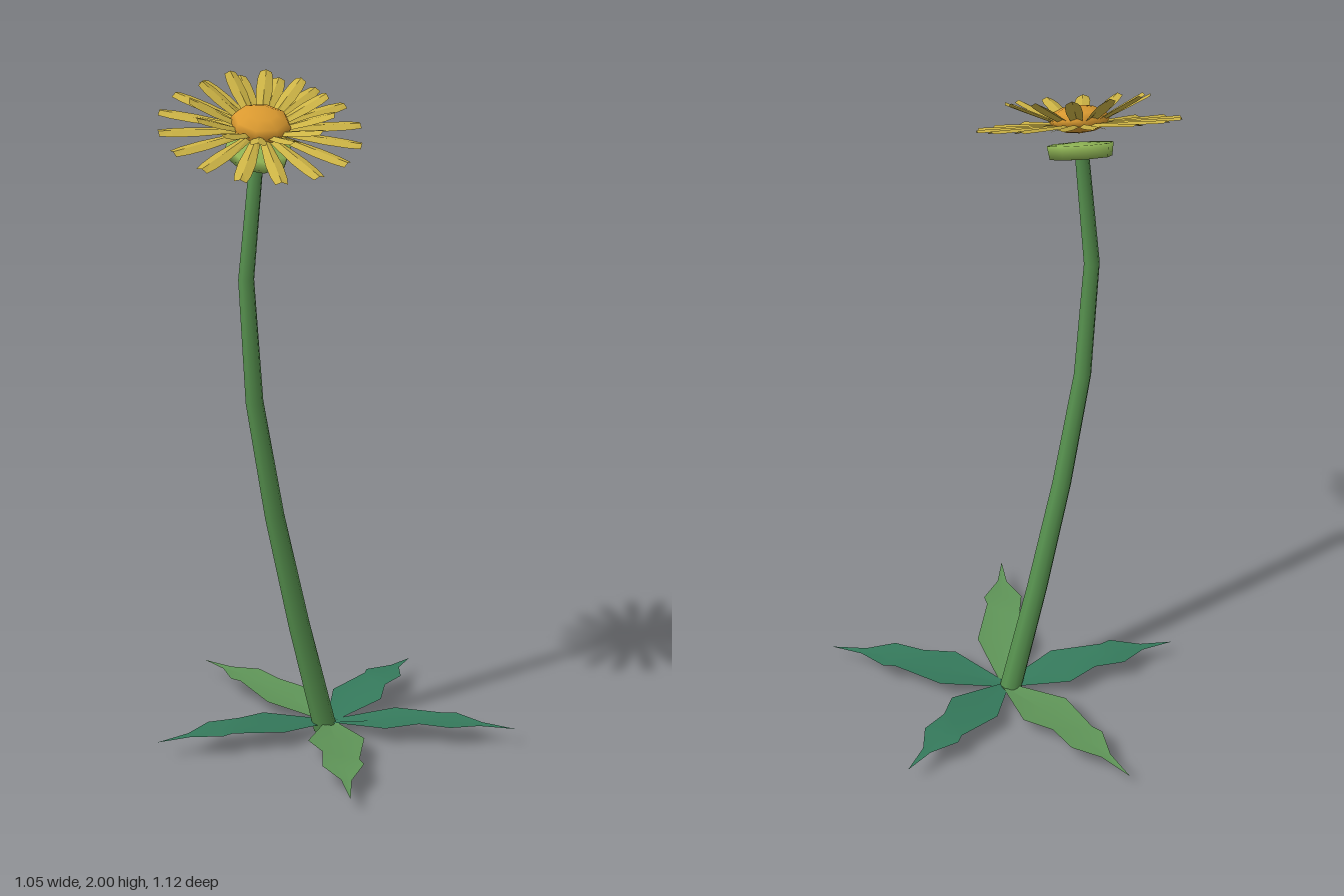
import * as THREE from 'three';

const flat = (name, color, side = THREE.FrontSide) =>
  Object.assign(new THREE.MeshStandardMaterial({ color, side }), { name });

function addMesh(parent, name, geometry, material) {
  const mesh = new THREE.Mesh(geometry, material);
  mesh.name = name;
  parent.add(mesh);
  return mesh;
}

// Creased blade along +x: rows of [x, leftX, rightX, halfWidth, height, edgeLift]
function bladeGeometry(rows) {
  const pos = [], index = [];
  for (const [x, xl, xr, w, y, lift] of rows) {
    pos.push(xl, y + lift, -w, x, y, 0, xr, y + lift, w);
  }
  for (let i = 0; i < rows.length - 1; i++) {
    for (let j = 0; j < 2; j++) {
      const a = i * 3 + j, b = a + 3;
      index.push(a, a + 1, b, a + 1, b + 1, b);
    }
  }
  const g = new THREE.BufferGeometry();
  g.setAttribute('position', new THREE.Float32BufferAttribute(pos, 3));
  g.setIndex(index);
  return g;
}

// Petal as a shallow roof with a blunt tip, rising from the centre by `rise`
function petalGeometry(start, end, halfWidth, rise) {
  const rows = [[0, 0.5], [0.6, 1], [0.85, 0.95], [1, 0.72]].map(([t, w]) => {
    const x = start + (end - start) * t;
    return [x, x, x, halfWidth * w, rise * t, -0.007];
  });
  const g = bladeGeometry(rows).toNonIndexed();
  g.computeVertexNormals();
  return g;
}

// Jagged leaf, arching up and dipping slightly at the tip
function leafGeometry(length) {
  const k = length / 0.565;
  const g = bladeGeometry([
    [0, 0, 0, 0.012, 0.022, 0.006],
    [0.185, 0.185, 0.187, 0.083, 0.048, 0.006],
    [0.31, 0.343, 0.283, 0.051, 0.06, 0.004],
    [0.377, 0.377, 0.379, 0.06, 0.06, 0.004],
    [0.463, 0.465, 0.46, 0.015, 0.057, 0.002],
    [0.565, 0.565, 0.565, 0.0005, 0.053, 0],
  ]);
  g.scale(k, 1, 1);
  g.computeVertexNormals();
  return g;
}

// Tapered tube through the stem points
function stemGeometry() {
  const points = [
    [0.004, 0.01, -0.042], [-0.085, 0.37, -0.012], [-0.165, 0.73, 0.02],
    [-0.228, 1.1, 0.046], [-0.247, 1.45, 0.054], [-0.21, 1.79, 0.043],
  ].map((p) => new THREE.Vector3(...p));
  const curve = new THREE.CatmullRomCurve3(points);
  const segments = 5, sides = 8;
  const g = new THREE.TubeGeometry(curve, segments, 1, sides);
  const pos = g.attributes.position, v = new THREE.Vector3();
  for (let i = 0; i < pos.count; i++) {
    const t = Math.floor(i / (sides + 1)) / segments;
    const c = curve.getPointAt(t);
    v.fromBufferAttribute(pos, i).sub(c).multiplyScalar(0.035 - 0.015 * t).add(c);
    pos.setXYZ(i, v.x, v.y, v.z);
  }
  return g;
}

export function createModel() {
  const model = new THREE.Group();
  model.name = 'flower';
  const stemGreen = flat('stem green', 0x57924f);
  const leafLight = flat('light leaf green', 0x5f9558, THREE.DoubleSide);
  const leafDark = flat('dark leaf green', 0x357a5c, THREE.DoubleSide);
  const calyxGreen = flat('calyx green', 0x8fb455);
  const petalYellow = flat('petal yellow', 0xccb345, THREE.DoubleSide);
  const discOrange = flat('disc orange', 0xdb9a30);

  addMesh(model, 'stem', stemGeometry(), stemGreen);

  // Five leaves spreading from the foot of the stem
  const foot = [0.02, -0.045];
  const tips = [
    [-0.26, -0.56, leafLight], [0.373, -0.42, leafDark], [0.525, 0.205, leafDark],
    [-0.072, 0.56, leafLight], [-0.525, 0.048, leafDark],
  ];
  tips.forEach(([x, z, material], i) => {
    const dx = x - foot[0], dz = z - foot[1];
    const leaf = addMesh(model, `leaf${i + 1}`, leafGeometry(Math.hypot(dx, dz)), material);
    leaf.position.set(foot[0], 0, foot[1]);
    leaf.rotation.y = -Math.atan2(dz, dx);
  });

  // Flower head, nodding towards the front
  const head = new THREE.Group();
  head.name = 'flowerHead';
  head.position.set(-0.207, 1.86, 0.07);
  head.rotation.x = 0.39;
  model.add(head);

  const ring = (name, count, offset, geometry) => {
    for (let i = 0; i < count; i++) {
      addMesh(head, name, geometry, petalYellow).rotation.y = ((i + offset) / count) * Math.PI * 2;
    }
  };
  ring('outerPetal', 16, 0, petalGeometry(0.04, 0.285, 0.024, 0.002));
  ring('innerPetal', 12, 0.5, petalGeometry(0.04, 0.2, 0.023, 0.07));

  // Domed centre
  const disc = addMesh(head, 'disc', new THREE.SphereGeometry(0.087, 8, 6), discOrange);
  disc.scale.y = 0.45;
  disc.position.y = 0.012;
  disc.rotation.y = Math.PI / 8;

  // Shallow green cup under the petals
  const profile = [[0, -0.025], [0.088, -0.019], [0.094, 0.019], [0, 0.025]]
    .map(([r, y]) => new THREE.Vector2(r, y));
  const calyx = addMesh(head, 'calyx', new THREE.LatheGeometry(profile, 8), calyxGreen);
  calyx.position.y = -0.075;

  return model;
}
